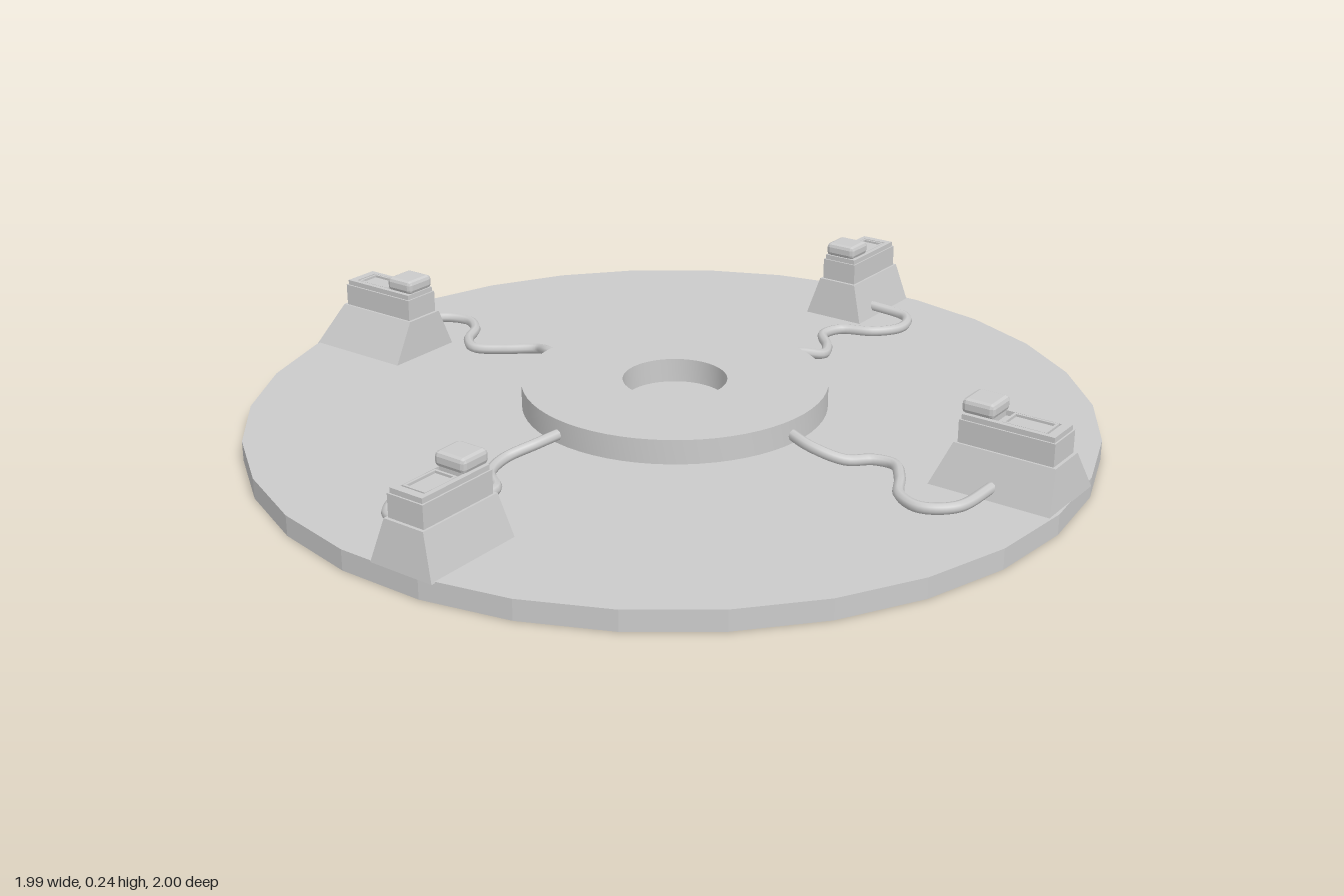
import * as THREE from 'three';
import { toCreasedNormals } from 'three/addons/utils/BufferGeometryUtils.js';
import { RoundedBoxGeometry } from 'three/addons/geometries/RoundedBoxGeometry.js';

const grey = new THREE.MeshStandardMaterial({ color: 0xcccccc });
const flat = new THREE.MeshStandardMaterial({ color: 0xcccccc, flatShading: true });

function add(parent, name, geometry, x = 0, y = 0, z = 0, material = flat) {
  const mesh = new THREE.Mesh(geometry, material);
  mesh.name = name;
  mesh.position.set(x, y, z);
  parent.add(mesh);
  return mesh;
}

// Box whose top is narrower and may be shifted along its length
function taperedBlock(length, width, height, topLength, topWidth, shiftX, shiftZ) {
  const geometry = new THREE.BoxGeometry(length, height, width);
  const p = geometry.attributes.position;
  for (let i = 0; i < p.count; i++) {
    if (p.getY(i) < 0) continue;
    p.setX(i, Math.sign(p.getX(i)) * topLength / 2 + shiftX);
    p.setZ(i, Math.sign(p.getZ(i)) * topWidth / 2 + shiftZ);
  }
  geometry.computeVertexNormals();
  return geometry;
}

// Raised rectangular rim around a shallow tray
function rimGeometry(length, width, wall, height) {
  const rect = (Path, l, w) => new Path([[-l, -w], [l, -w], [l, w], [-l, w]]
    .map(([x, y]) => new THREE.Vector2(x / 2, y / 2)));
  const shape = rect(THREE.Shape, length, width);
  shape.holes.push(rect(THREE.Path, length - 2 * wall, width - 2 * wall));
  const geometry = new THREE.ExtrudeGeometry(shape, { depth: height, bevelEnabled: false });
  return geometry.rotateX(-Math.PI / 2);
}

// Terminal on its pedestal; +x points to the rim of the base
function terminal({ base, width, box, shift }) {
  const group = new THREE.Group();
  group.name = 'terminal';
  const [sx, sz] = shift, w = 0.095;
  add(group, 'pedestal', taperedBlock(base, width, 0.1, box + 0.015, w + 0.01, sx, sz), 0, 0.095, 0);

  const top = new THREE.Group();
  top.name = 'terminalTop';
  top.position.set(sx, 0, sz);
  group.add(top);
  add(top, 'housing', new THREE.BoxGeometry(box, 0.055, w), 0, 0.1705, 0);
  add(top, 'housingLip', rimGeometry(box - 0.008, w - 0.008, 0.012, 0.012), 0, 0.198, 0);

  // Slots and plate in the tray
  const plateX = box * 0.14;
  add(top, 'trayPlate', new THREE.BoxGeometry(box * 0.4, 0.009, w * 0.5), plateX, 0.2, 0);
  add(top, 'trayFrame', rimGeometry(box * 0.46, w * 0.64, 0.006, 0.012), plateX, 0.198, 0);
  add(top, 'trayBar', new THREE.BoxGeometry(0.012, 0.012, w * 0.7), box * 0.42, 0.204, 0);

  // Head block on the inner end
  add(top, 'headNeck', new THREE.BoxGeometry(0.06, 0.02, 0.06), -box / 2 + 0.042, 0.206, 0);
  add(top, 'head', new RoundedBoxGeometry(0.078, 0.034, 0.082, 1, 0.01), -box / 2 + 0.038, 0.227, 0);
  return group;
}

// Cable points are [outward, sideways] in the arm's own frame
const arms = [
  { // left
    pod: { base: 0.29, width: 0.205, box: 0.225, shift: [0.015, 0.015] }, at: [0.835, -0.16],
    cable: [[0.36, 0.015], [0.445, 0.035], [0.52, 0.01], [0.56, -0.04], [0.61, -0.05], [0.66, 0],
      [0.71, 0.07], [0.775, 0.09], [0.835, 0.04], [0.845, -0.08]],
  },
  { // back
    pod: { base: 0.25, width: 0.165, box: 0.205, shift: [0, 0] }, at: [0.86, -0.095],
    cable: [[0.33, 0.06], [0.4, 0.065], [0.465, 0.09], [0.525, 0.06], [0.585, 0], [0.645, 0.01],
      [0.69, 0.085], [0.76, 0.12], [0.83, 0.085], [0.825, -0.03]],
  },
  { // right
    pod: { base: 0.28, width: 0.205, box: 0.215, shift: [-0.02, 0.01] }, at: [0.832, -0.18],
    cable: [[0.32, -0.01], [0.4, -0.01], [0.47, 0.015], [0.535, -0.035], [0.6, -0.08], [0.655, -0.05],
      [0.7, 0.015], [0.76, 0.045], [0.82, 0.015], [0.84, -0.1]],
  },
  { // front
    pod: { base: 0.25, width: 0.165, box: 0.205, shift: [0, 0] }, at: [0.86, -0.152],
    cable: [[0.35, 0.01], [0.43, 0.02], [0.5, 0.045], [0.57, 0.02], [0.62, -0.05], [0.67, -0.045],
      [0.72, 0.035], [0.79, 0.065], [0.855, 0.025], [0.865, -0.09]],
  },
];
const cableHeights = [0.092, 0.085, 0.068, 0.064, 0.064, 0.064, 0.064, 0.064, 0.066, 0.074];

export function createModel() {
  const model = new THREE.Group();
  model.name = 'platform';

  add(model, 'baseDisc', new THREE.CylinderGeometry(1, 1, 0.048, 30), 0, 0.024, 0);

  // Central ring with an open middle
  const profile = [[0.123, 0.07], [0.36, 0.07], [0.36, 0.128], [0.123, 0.128], [0.123, 0.07]]
    .map(([r, y]) => new THREE.Vector2(r, y));
  const ring = toCreasedNormals(new THREE.LatheGeometry(profile, 64), 0.6);
  add(model, 'centralRing', ring, 0.021, 0, 0.013, grey);

  // Four arms, each a quarter turn apart
  arms.forEach(({ pod, at, cable }, i) => {
    const arm = new THREE.Group();
    arm.name = 'arm';
    arm.rotation.y = i * Math.PI / 2;
    model.add(arm);

    const unit = terminal(pod);
    unit.position.set(at[0], 0, at[1]);
    unit.rotation.y = 0.1;
    arm.add(unit);

    const points = cable.map(([a, b], k) => new THREE.Vector3(a, cableHeights[k], b));
    const curve = new THREE.CatmullRomCurve3(points);
    add(arm, 'cable', new THREE.TubeGeometry(curve, 64, 0.013, 8), 0, 0, 0, grey);
  });
  return model;
}
